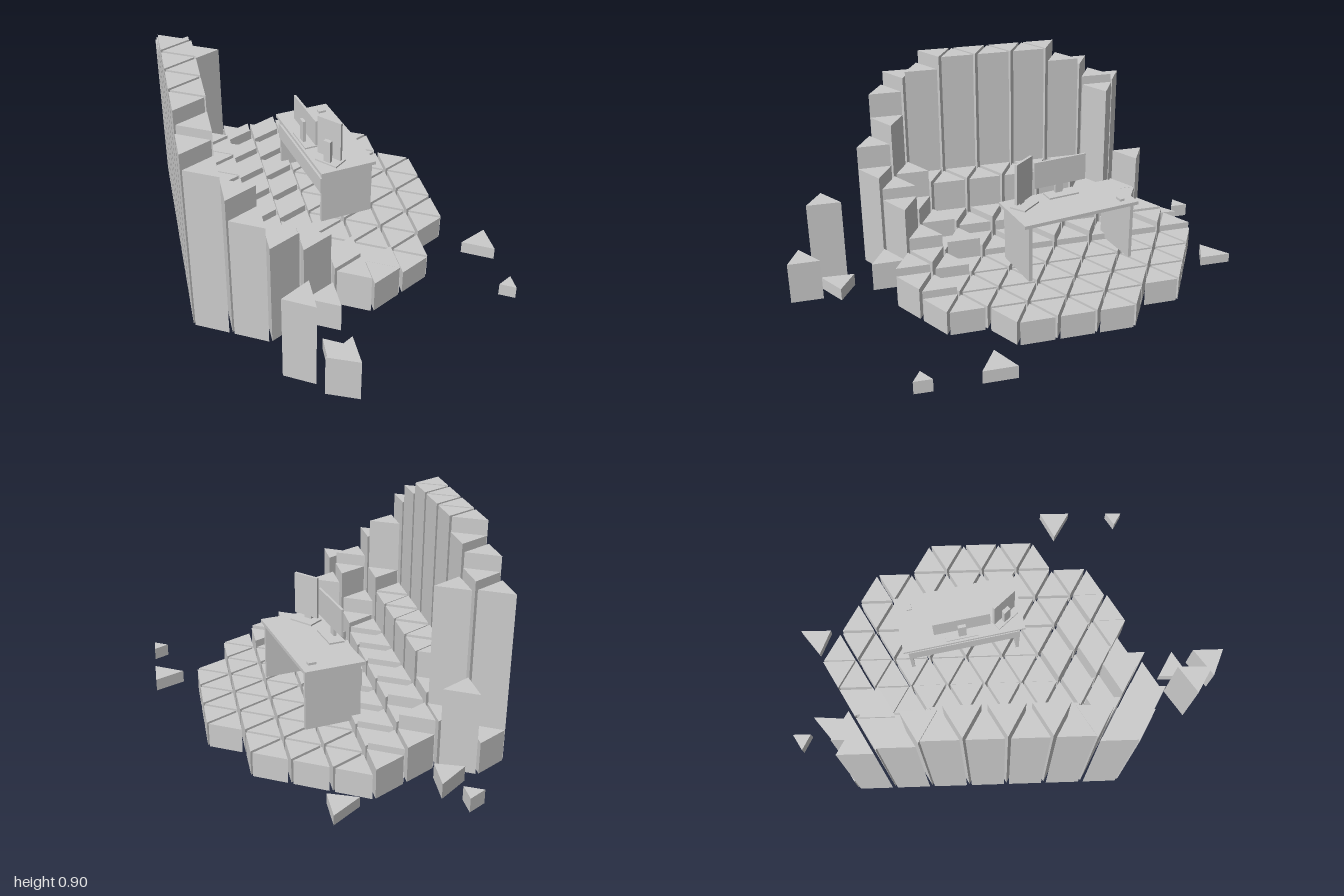
import * as THREE from 'three';

const material = new THREE.MeshStandardMaterial({ color: 0xcccccc, flatShading: true });

// Triangular floor lattice: origin and two step vectors, as [x, z]
const O = [-0.688, 0.392], A = [0.1568, -0.056], B = [0.1269, 0.1078];
const SHRINK = 0.87, BASE = 0.013;
const node = (i, j) => [O[0] + i * A[0] + j * B[0], O[1] + i * A[1] + j * B[1]];

// Heights that differ from the default of their strip
const RIGHT_POINTING = {
  '0,0': 0.815, '5,-5': 0.81, '6,-6': 0.72, '0,1': 0.65, '6,-5': 0.715, '0,2': 0.47,
  '1,1': 0.3, '1,2': 0.375, '2,2': 0.19, '2,3': 0.155,
};
const LEFT_POINTING = {
  '0,1': 0.755, '1,0': 0.845, '5,-4': 0.84, '6,-5': 0.75, '7,-6': 0.15,
  '0,2': 0.567, '1,1': 0.42, '6,-4': 0.25, '7,-5': 0.215, '1,2': 0.42, '2,1': 0.235,
  '7,-4': 0.18, '8,-5': 0.165, '2,2': 0.24, '3,1': 0.2, '2,3': 0.185, '3,2': 0.16, '3,3': 0.145,
};
const RIGHT_DEFAULT = [0.9, 0.36, 0.22, 0.16];
const LEFT_DEFAULT = [0.9, 0.355, 0.2, 0.14];

// Upright triangular prism from three [x, z] corners
function prism(name, corners, y0, y1) {
  const shape = new THREE.Shape(corners.map(([x, z]) => new THREE.Vector2(x, -z)));
  const geo = new THREE.ExtrudeGeometry(shape, { depth: y1 - y0, bevelEnabled: false });
  geo.rotateX(-Math.PI / 2);
  const mesh = new THREE.Mesh(geo, material);
  mesh.position.y = y0;
  mesh.name = name;
  return mesh;
}

function tile(corners, height) {
  const cx = (corners[0][0] + corners[1][0] + corners[2][0]) / 3;
  const cz = (corners[0][1] + corners[1][1] + corners[2][1]) / 3;
  const inset = corners.map(([x, z]) => [cx + (x - cx) * SHRINK, cz + (z - cz) * SHRINK]);
  return prism(height > 0.3 ? 'wallColumn' : 'floorTile', inset, BASE, height);
}

// Outline of the platform in lattice coordinates
function inside(u, v) {
  const s = u + v;
  if (u < 0 || u > 10 || s < 0 || s > 8 || v < -7 || v > 3) return false;
  if (u > 9 && s > 7) return false;
  if (v < -6 && u > 8) return false;
  if (v > 2 && (u < 2 || s > 7)) return false;
  return true;
}

function buildPlatform() {
  const group = new THREE.Group();
  group.name = 'platform';
  for (let i = 0; i <= 10; i++) {
    for (let j = -8; j <= 4; j++) {
      const key = `${i},${j}`;
      if (inside(i + 2 / 3, j - 1 / 3)) {
        const h = RIGHT_POINTING[key] ?? RIGHT_DEFAULT[i + j] ?? 0.118;
        group.add(tile([node(i, j), node(i + 1, j - 1), node(i + 1, j)], h));
      }
      if (inside(i + 1 / 3, j - 2 / 3) || key === '1,3') {
        const h = LEFT_POINTING[key] ?? LEFT_DEFAULT[i + j - 1] ?? 0.118;
        group.add(tile([node(i, j), node(i + 1, j - 1), node(i, j - 1)], h));
      }
    }
  }
  return group;
}

// Loose prisms scattered around the platform
function buildStrays() {
  const group = new THREE.Group();
  group.name = 'looseTiles';
  const list = [
    [[[-0.45, 0.77], [-0.32, 0.715], [-0.35, 0.86]], 0, 0.38],
    [[[-0.34, 0.915], [-0.205, 0.855], [-0.23, 0.99]], 0, 0.185],
    [[[-0.29, 0.84], [-0.257, 0.7], [-0.155, 0.79]], 0, 0.055],
    [[[-0.257, -0.97], [-0.178, -1], [-0.193, -0.92]], 0.005, 0.065],
    [[[-0.257, -0.82], [-0.12, -0.894], [-0.156, -0.757]], 0.01, 0.075],
    [[[0.183, -0.825], [0.315, -0.894], [0.288, -0.757]], 0.01, 0.052],
    [[[0.54, 0.39], [0.675, 0.35], [0.648, 0.487]], 0, 0.055],
    [[[0.542, 0.693], [0.611, 0.667], [0.595, 0.74]], 0, 0.055],
  ];
  for (const [corners, y0, y1] of list) group.add(prism('looseTile', corners, y0, y1));
  return group;
}

// Box given by its [min, max] along each axis
function box(name, [x0, x1], [y0, y1], [z0, z1]) {
  const mesh = new THREE.Mesh(new THREE.BoxGeometry(x1 - x0, y1 - y0, z1 - z0), material);
  mesh.position.set((x0 + x1) / 2, (y0 + y1) / 2, (z0 + z1) / 2);
  mesh.name = name;
  return mesh;
}

function buildDesk() {
  const desk = new THREE.Group();
  desk.name = 'desk';
  desk.add(
    box('deskTop', [-0.01, 0.245], [0.37, 0.385], [-0.43, 0.112]),
    box('frontEndPanel', [0, 0.238], [0.118, 0.37], [0.075, 0.09]),
    box('backEndPanel', [0, 0.238], [0.118, 0.37], [-0.41, -0.395]),
    box('modestyPanel', [-0.005, 0.005], [0.27, 0.345], [-0.41, 0.09]),
    box('mouse', [0.178, 0.213], [0.385, 0.395], [-0.38, -0.358]),
  );

  // Wide screen on its stand
  const wide = new THREE.Group();
  wide.name = 'wideMonitor';
  wide.add(
    box('screen', [0.024, 0.034], [0.435, 0.555], [-0.285, -0.037]),
    box('standArm', [0.01, 0.024], [0.385, 0.495], [-0.18, -0.145]),
    box('standFoot', [0, 0.065], [0.385, 0.392], [-0.238, -0.095]),
  );

  // Tall screen, turned towards the seat
  const tall = new THREE.Group();
  tall.name = 'tallMonitor';
  tall.add(
    box('screen', [-0.006, 0.006], [0.41, 0.593], [-0.06, 0.06]),
    box('standArm', [-0.024, -0.006], [0.385, 0.495], [-0.017, 0.017]),
    box('standFoot', [-0.032, 0.042], [0.385, 0.392], [-0.056, 0.056]),
  );
  tall.position.set(0.063, 0, 0.03);
  tall.rotation.y = 0.55;

  desk.add(wide, tall);
  return desk;
}

export function createModel() {
  const model = new THREE.Group();
  model.name = 'tiledOfficeDiorama';
  model.add(buildPlatform(), buildStrays(), buildDesk());
  return model;
}
